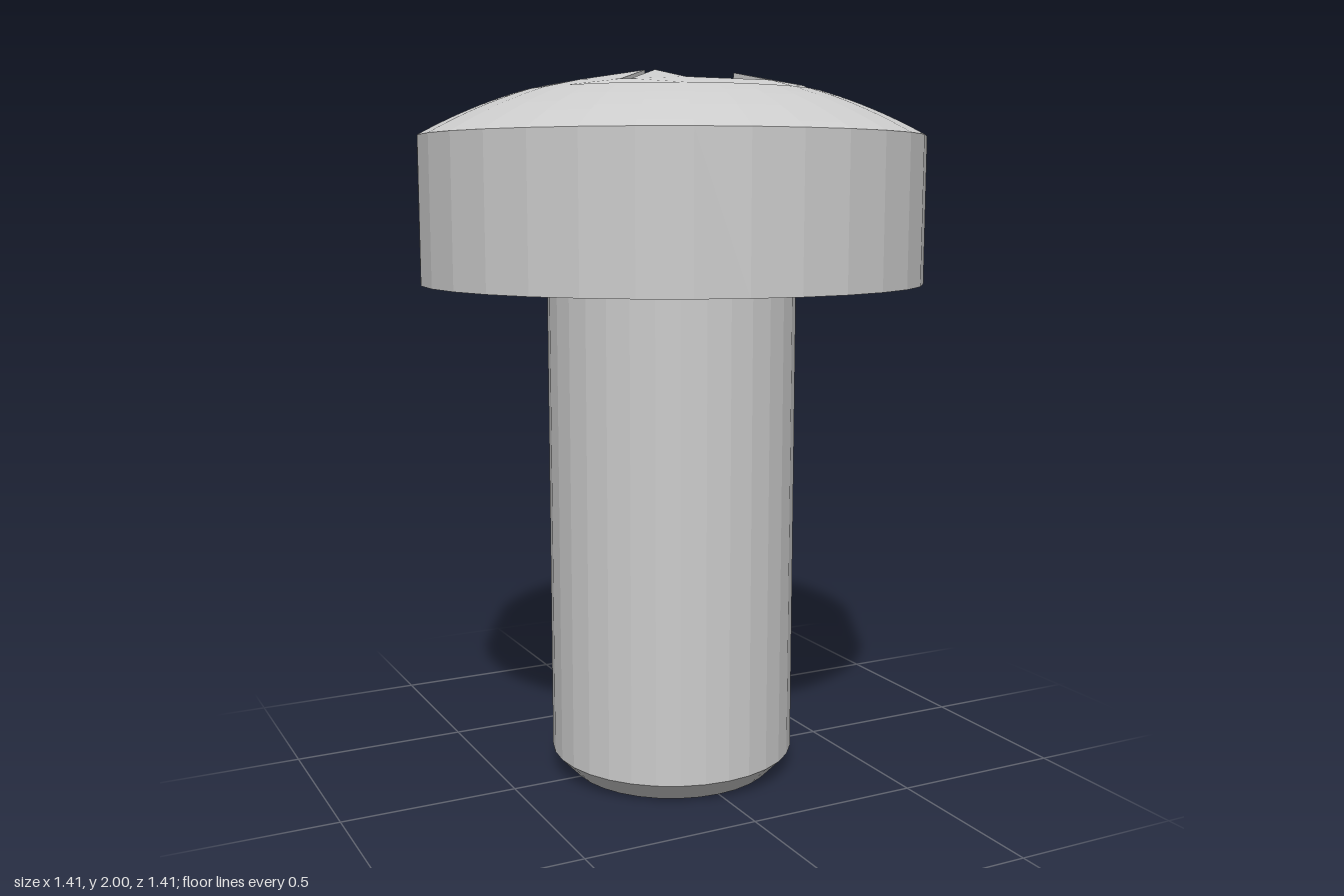
import * as THREE from 'three';

const SEGMENTS = 32;
const HEAD_R = 0.707, CAP_R = 0.42;
const DOME_TOP = 2.0115, DOME_R = 1.461;
const FLOOR_Y = 1.66, CONE_R = 0.147, CONE_DEPTH = 0.04;

const domeY = (r) => DOME_TOP - DOME_R + Math.sqrt(DOME_R * DOME_R - r * r);
const onDome = (x, z) => new THREE.Vector3(x, domeY(Math.hypot(x, z)), z);
const turn = (p, q) => p.clone().applyAxisAngle(new THREE.Vector3(0, 1, 0), -q * Math.PI / 2);
const lathe = (pts) => new THREE.LatheGeometry(pts.map(([r, y]) => new THREE.Vector2(r, y)), SEGMENTS);

// Ring of points matching the lathe's own vertices
function ring(r) {
  return Array.from({ length: SEGMENTS }, (_, i) => {
    const a = i / SEGMENTS * Math.PI * 2;
    return new THREE.Vector2(r * Math.sin(a), r * Math.cos(a));
  });
}

// Upward-facing sheet with a hole, lifted by a height rule
function sheet(outer, hole, height) {
  const shape = new THREE.Shape(outer);
  shape.holes.push(new THREE.Path(hole));
  const geo = new THREE.ShapeGeometry(shape).rotateX(-Math.PI / 2);
  const pos = geo.attributes.position;
  for (let i = 0; i < pos.count; i++) pos.setY(i, height(Math.hypot(pos.getX(i), pos.getZ(i))));
  geo.computeVertexNormals();
  return geo;
}

export function createModel() {
  const group = new THREE.Group();
  const solid = new THREE.MeshStandardMaterial({ color: 0xcccccc, flatShading: true });
  const open = new THREE.MeshStandardMaterial({ color: 0xcccccc, flatShading: true, side: THREE.DoubleSide });
  const add = (name, geo, mat) => {
    const mesh = new THREE.Mesh(geo, mat);
    mesh.name = name;
    group.add(mesh);
  };

  // Shank with chamfered tip and a small fillet under the head
  add('shank', lathe([[0, 0], [0.295, 0], [0.353, 0.06], [0.353, 1.4], [0.357, 1.414], [0.372, 1.425]]), solid);

  // Head: flat underside, straight side, domed shoulder
  const head = [[0.34, 1.425], [HEAD_R, 1.425]];
  for (let i = 0; i <= 10; i++) {
    const r = THREE.MathUtils.lerp(HEAD_R, CAP_R, i / 10);
    head.push([r, domeY(r)]);
  }
  add('head', lathe(head), solid);

  // One quarter of the recess: an arm of the cross, then a diagonal groove
  const v = (x, y, z) => new THREE.Vector3(x, y, z);
  const top = [onDome(0.33, -0.125), onDome(0.33, 0.125), onDome(0.14, 0.12),
    onDome(0.275, 0.255), onDome(0.255, 0.275), onDome(0.12, 0.14)];
  const [A, B, C, D, E, F] = top;
  const base = [v(0.185, FLOOR_Y, -0.085), v(0.185, FLOOR_Y, 0.085),
    v(0.124, FLOOR_Y, 0.087), v(0.087, FLOOR_Y, 0.124)];
  const [Ab, Bb, Cb, Fb] = base;
  const Cg = C.clone().lerp(Cb, 0.25), Fg = F.clone().lerp(Fb, 0.25);
  const Dg = v(0.245, 1.93, 0.225), Eg = v(0.225, 1.93, 0.245);
  const quads = [
    [A, B, Bb, Ab], [B, C, Cb, Bb], [C, D, Dg, Cg], [D, E, Eg, Dg], [E, F, Fg, Eg],
    [Cg, Dg, Eg, Fg], [Cg, Fg, Fb, Cb], [F, turn(A, 1), turn(Ab, 1), Fb],
  ];

  // Recess walls and grooves, repeated around the axis
  const verts = [], outline = [], floor = [];
  for (let q = 0; q < 4; q++) {
    for (const quad of quads) {
      const [a, b, c, d] = quad.map((p) => turn(p, q));
      for (const p of [a, d, c, a, c, b]) verts.push(p.x, p.y, p.z);
    }
    for (const p of top) { const t = turn(p, q); outline.push(new THREE.Vector2(t.x, -t.z)); }
    for (const p of base) { const t = turn(p, q); floor.push(new THREE.Vector2(t.x, -t.z)); }
  }
  const walls = new THREE.BufferGeometry();
  walls.setAttribute('position', new THREE.Float32BufferAttribute(verts, 3));
  walls.computeVertexNormals();
  add('recessWalls', walls, open);

  // Dome top around the cross opening
  add('domeTop', sheet(ring(CAP_R), outline, domeY), solid);

  // Recess floor and its shallow conical centre
  add('recessFloor', sheet(floor, ring(CONE_R), () => FLOOR_Y), open);
  add('recessCone', lathe([[0, FLOOR_Y - CONE_DEPTH], [CONE_R, FLOOR_Y]]), open);

  return group;
}
